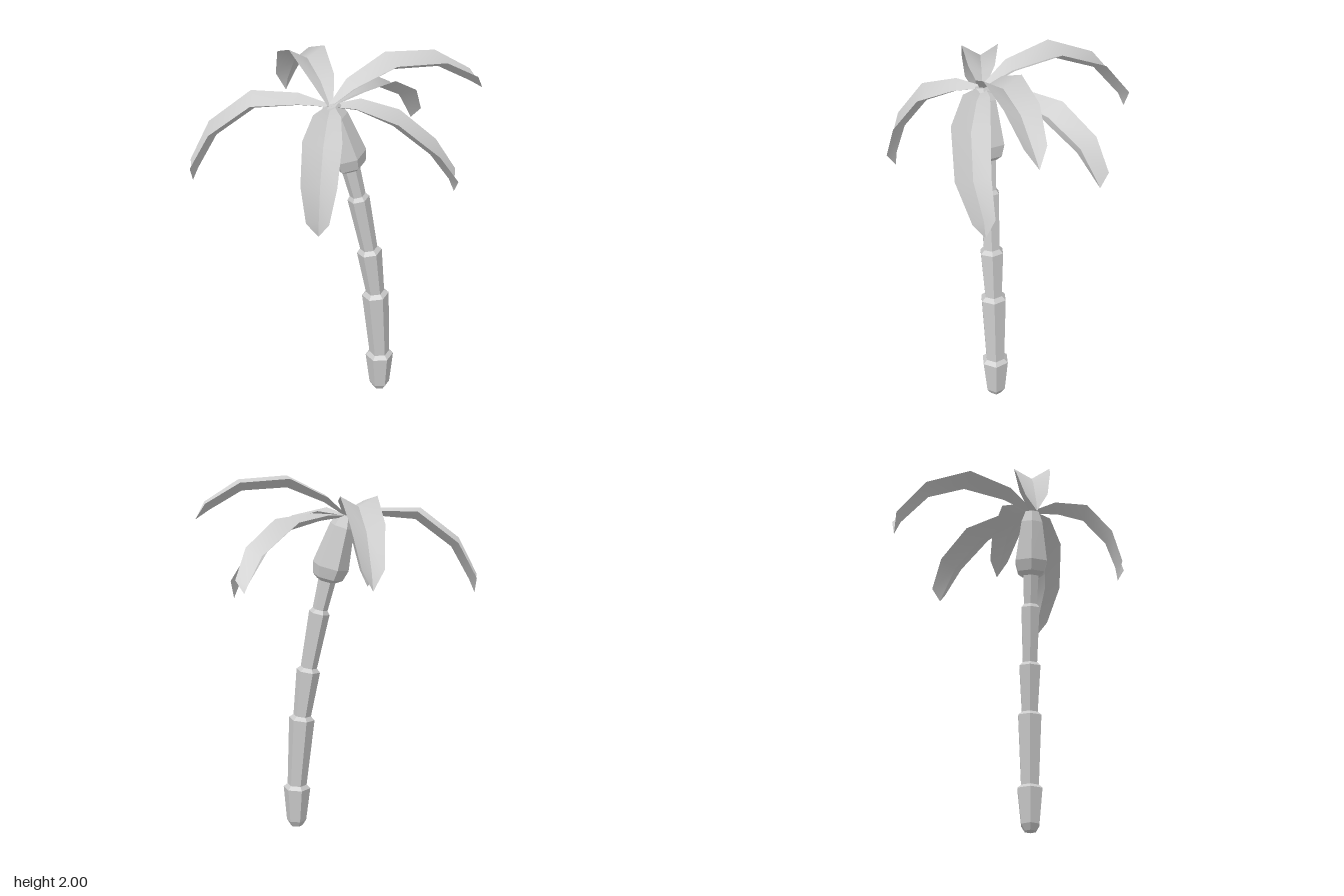
import * as THREE from 'three';

const material = new THREE.MeshStandardMaterial({ color: 0xcccccc, flatShading: true });
const leafMaterial = new THREE.MeshStandardMaterial({ color: 0xcccccc, side: THREE.DoubleSide });
const SIDES = 6;

// The trunk bends along a parabola
const axisAt = y => new THREE.Vector3(0.19 - 0.08 * y * y, y, 0.3 - 0.038 * y * y);
const axisDirection = y => new THREE.Vector3(-0.16 * y, 1, -0.076 * y).normalize();

function meshFrom(name, points, index, mat) {
  const geometry = new THREE.BufferGeometry().setFromPoints(points);
  geometry.setIndex(index);
  geometry.computeVertexNormals();
  const mesh = new THREE.Mesh(geometry, mat);
  mesh.name = name;
  return mesh;
}

// Capped tube of polygon rings [height, radius], each square to the trunk's axis
function ringedPart(name, rings) {
  const points = [], index = [];
  for (const [y, r] of rings) {
    const tilt = new THREE.Quaternion().setFromUnitVectors(new THREE.Vector3(0, 1, 0), axisDirection(y));
    for (let i = 0; i < SIDES; i++) {
      const a = (i + 0.5) / SIDES * Math.PI * 2;
      points.push(new THREE.Vector3(Math.cos(a) * r, 0, Math.sin(a) * r).applyQuaternion(tilt).add(axisAt(y)));
    }
  }
  const last = (rings.length - 1) * SIDES;
  for (let k = 0; k < last; k += SIDES) {
    for (let i = 0; i < SIDES; i++) {
      const a = k + i, b = k + (i + 1) % SIDES;
      index.push(a, a + SIDES, b, b, a + SIDES, b + SIDES);
    }
  }
  for (let i = 1; i < SIDES - 1; i++) index.push(0, i, i + 1, last, last + i + 1, last + i);
  return meshFrom(name, points, index, material);
}

// Gutter-shaped leaf: low midrib, raised edges and a pointed tip.
// The midrib is given as [distance outward, height]; bow bends it sideways.
function makeLeaf(root, tipX, tipZ, bow, midrib) {
  const widths = [0.015, 0.068, 0.096, 0.088, 0.056];
  const lifts = [0.008, 0.035, 0.055, 0.052, 0.045];
  const bends = [0, 0.5, 1, 0.9, 0.1, 0];
  const out = new THREE.Vector3(tipX - root.x, 0, tipZ - root.z).normalize();
  const side = new THREE.Vector3(-out.z, 0, out.x);
  const rib = [[0, root.y], ...midrib].map(([s, y], i) =>
    new THREE.Vector3(root.x, y, root.z).addScaledVector(out, s).addScaledVector(side, bow * bends[i]));
  const points = [], index = [];
  widths.forEach((w, i) => {
    const along = rib[i + 1].clone().sub(rib[Math.max(i - 1, 0)]).normalize();
    const up = side.clone().cross(along).normalize();
    const across = along.clone().cross(up);
    const edge = k => rib[i].clone().addScaledVector(across, k * w).addScaledVector(up, lifts[i]);
    // the midrib is doubled so that it stays a sharp crease
    points.push(edge(-1), rib[i], rib[i], edge(1));
  });
  points.push(rib[5], rib[5]);
  for (let i = 0; i < 4; i++) {
    for (const a of [i * 4, i * 4 + 2]) {
      index.push(a, a + 1, a + 4, a + 1, a + 5, a + 4);
    }
  }
  index.push(16, 17, 20, 18, 19, 21);
  return meshFrom('leaf', points, index, leafMaterial);
}

export function createModel() {
  const palm = new THREE.Group();
  palm.name = 'palmTree';

  // Trunk: sections that flare upwards, each bevelled back in at its top
  const trunk = ringedPart('trunk', [
    [0, 0.034], [0.035, 0.056], [0.23, 0.077], [0.25, 0.055],
    [0.64, 0.073], [0.66, 0.05],
    [0.92, 0.067], [0.94, 0.046],
    [1.25, 0.058], [1.27, 0.042], [1.46, 0.05],
  ]);

  // Swollen crown under the leaves
  const crown = ringedPart('crown', [
    [1.43, 0.055], [1.45, 0.084], [1.51, 0.102], [1.73, 0.068], [1.79, 0.042],
  ]);
  palm.add(trunk, crown);

  // Leaves: tip position from above, sideways bow, then the midrib
  const leaves = new THREE.Group();
  leaves.name = 'leaves';
  const root = new THREE.Vector3(-0.07, 1.78, 0.18);
  const list = [
    [0.70, 0.39, 0, [[0.12, 1.86], [0.32, 1.943], [0.56, 1.93], [0.735, 1.83], [0.81, 1.78]]],
    [0.12, -0.59, 0, [[0.16, 1.85], [0.385, 1.882], [0.61, 1.785], [0.76, 1.6], [0.795, 1.52]]],
    [-0.68, -0.17, 0.015, [[0.16, 1.79], [0.375, 1.775], [0.57, 1.63], [0.67, 1.45], [0.7, 1.38]]],
    [0.6, -0.06, 0, [[0.19, 1.775], [0.4, 1.745], [0.59, 1.63], [0.685, 1.49], [0.71, 1.45]]],
    [0.465, 0.53, 0.06, [[0.13, 1.78], [0.31, 1.71], [0.5, 1.55], [0.605, 1.385], [0.635, 1.31]]],
    [-0.365, 0.545, 0, [[0.13, 1.765], [0.285, 1.705], [0.405, 1.55], [0.455, 1.39], [0.465, 1.31]]],
  ];
  for (const [x, z, bow, midrib] of list) leaves.add(makeLeaf(root, x, z, bow, midrib));
  palm.add(leaves);
  return palm;
}
